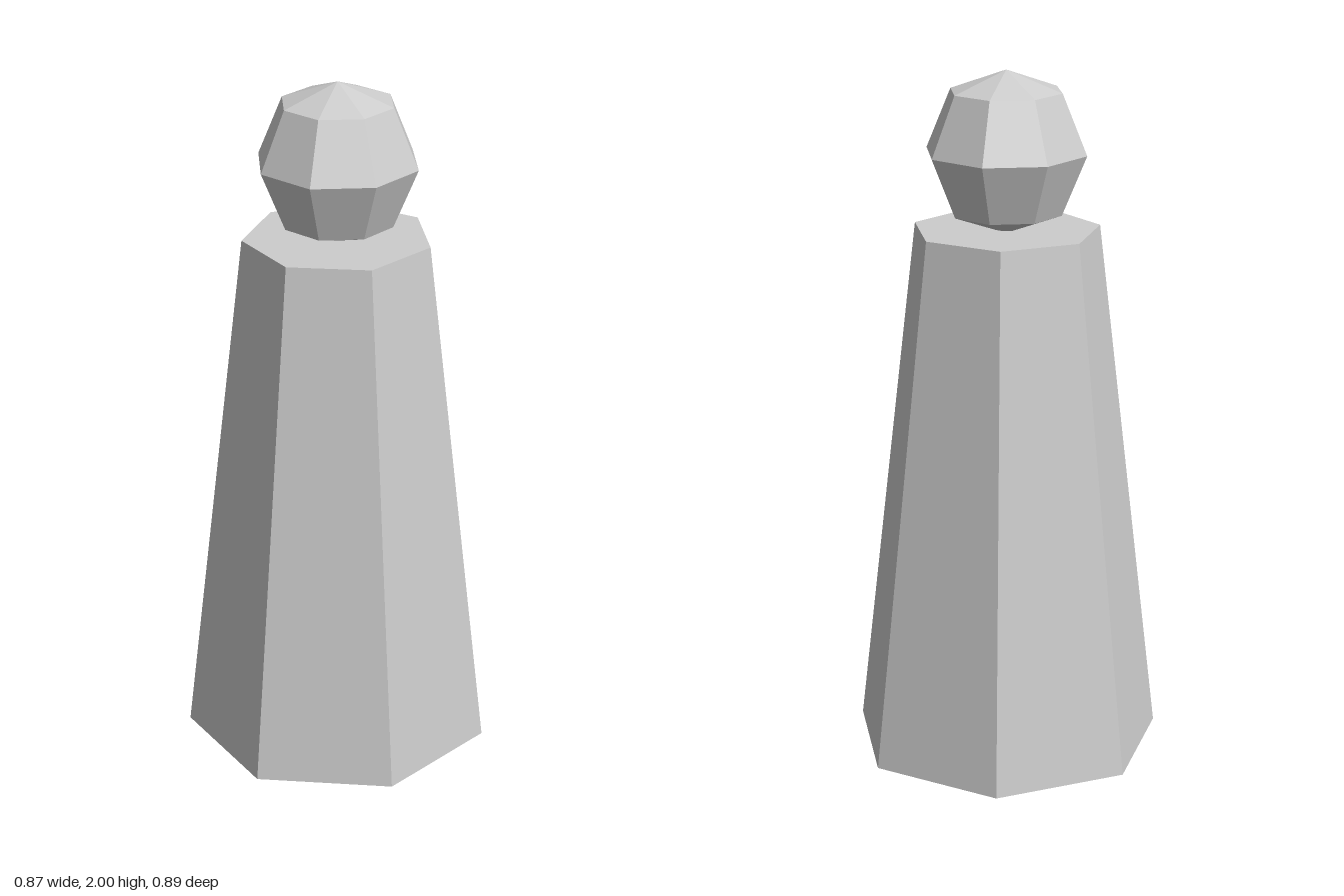
import * as THREE from 'three';

export function createModel() {
  const group = new THREE.Group();
  const paleGrey = new THREE.MeshStandardMaterial({ color: 0xcccccc, flatShading: true });
  paleGrey.name = 'pale grey';
  const axisX = -0.0228;

  // Tapered seven-sided body, one corner pointing to +x
  const body = new THREE.Mesh(
    new THREE.CylinderGeometry(0.2705, 0.4556, 1.55, 7, 1, false, Math.PI / 2),
    paleGrey
  );
  body.name = 'body';
  body.position.set(axisX, 0.775, 0);
  group.add(body);

  // Eight-sided faceted head, its lowest point sunk slightly into the body
  const profile = [[0, 1.537], [0.162, 1.597], [0.2335, 1.77], [0.162, 1.941], [0, 2]]
    .map(([r, y]) => new THREE.Vector2(r, y));
  const head = new THREE.Mesh(new THREE.LatheGeometry(profile, 8), paleGrey);
  head.name = 'head';
  head.position.x = axisX;
  group.add(head);

  return group;
}
